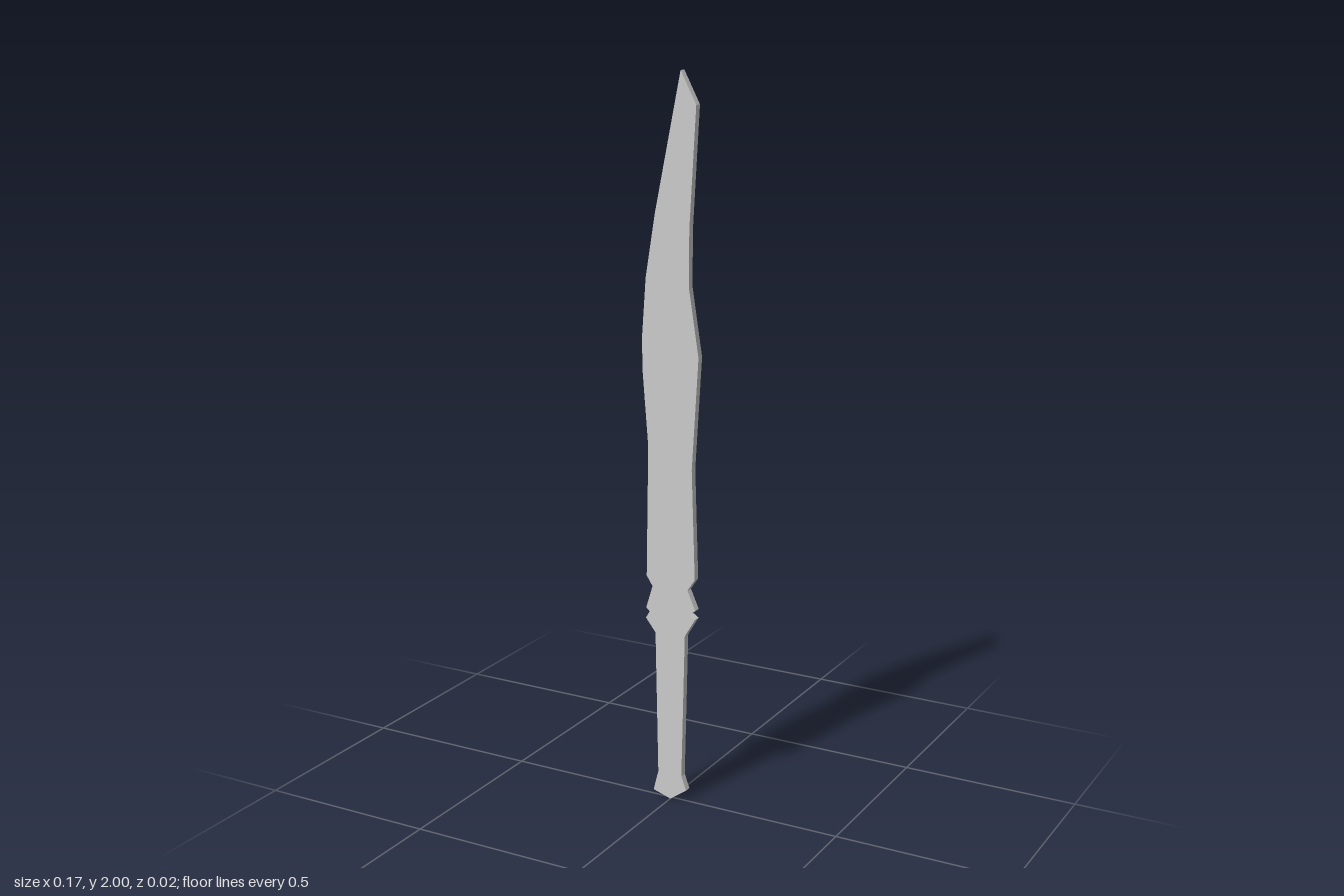
import * as THREE from 'three';

const THICKNESS = 0.02;

// Outline sections, each listed from bottom to top as [x, y]
const rightEdge = {
  pommel: [[0, 0], [0.05, 0.035], [0.035, 0.075]],
  grip: [[0.045, 0.49]],
  guard: [[0.077, 0.543], [0.06, 0.554], [0.077, 0.568], [0.053, 0.622]],
  blade: [[0.075, 0.655], [0.065, 0.96], [0.084, 1.265], [0.055, 1.45], [0.056, 1.6], [0.075, 1.915]],
};
const leftEdge = {
  pommel: [[-0.053, 0.017], [-0.038, 0.075]],
  grip: [[-0.046, 0.485]],
  guard: [[-0.076, 0.523], [-0.064, 0.543], [-0.075, 0.552], [-0.055, 0.617]],
  blade: [[-0.073, 0.645], [-0.067, 1.01], [-0.083, 1.21], [-0.085, 1.3], [-0.073, 1.465], [-0.045, 1.635]],
};
const tip = [0.03, 2];

export function createModel() {
  const group = new THREE.Group();
  group.name = 'sword';

  // Up the right edge, over the tip and down the left edge
  const points = [
    ...Object.values(rightEdge).flat(),
    tip,
    ...Object.values(leftEdge).flat().reverse(),
  ].map(([x, y]) => new THREE.Vector2(x, y));

  // Flat plate: blade, guard, grip and pommel are one continuous piece
  const geometry = new THREE.ExtrudeGeometry(new THREE.Shape(points), {
    depth: THICKNESS,
    bevelEnabled: false,
  });
  geometry.translate(0, 0, -THICKNESS / 2);

  const plate = new THREE.Mesh(
    geometry,
    new THREE.MeshStandardMaterial({ color: 0xcccccc, flatShading: true }),
  );
  plate.name = 'bladeAndHandle';
  group.add(plate);
  return group;
}
